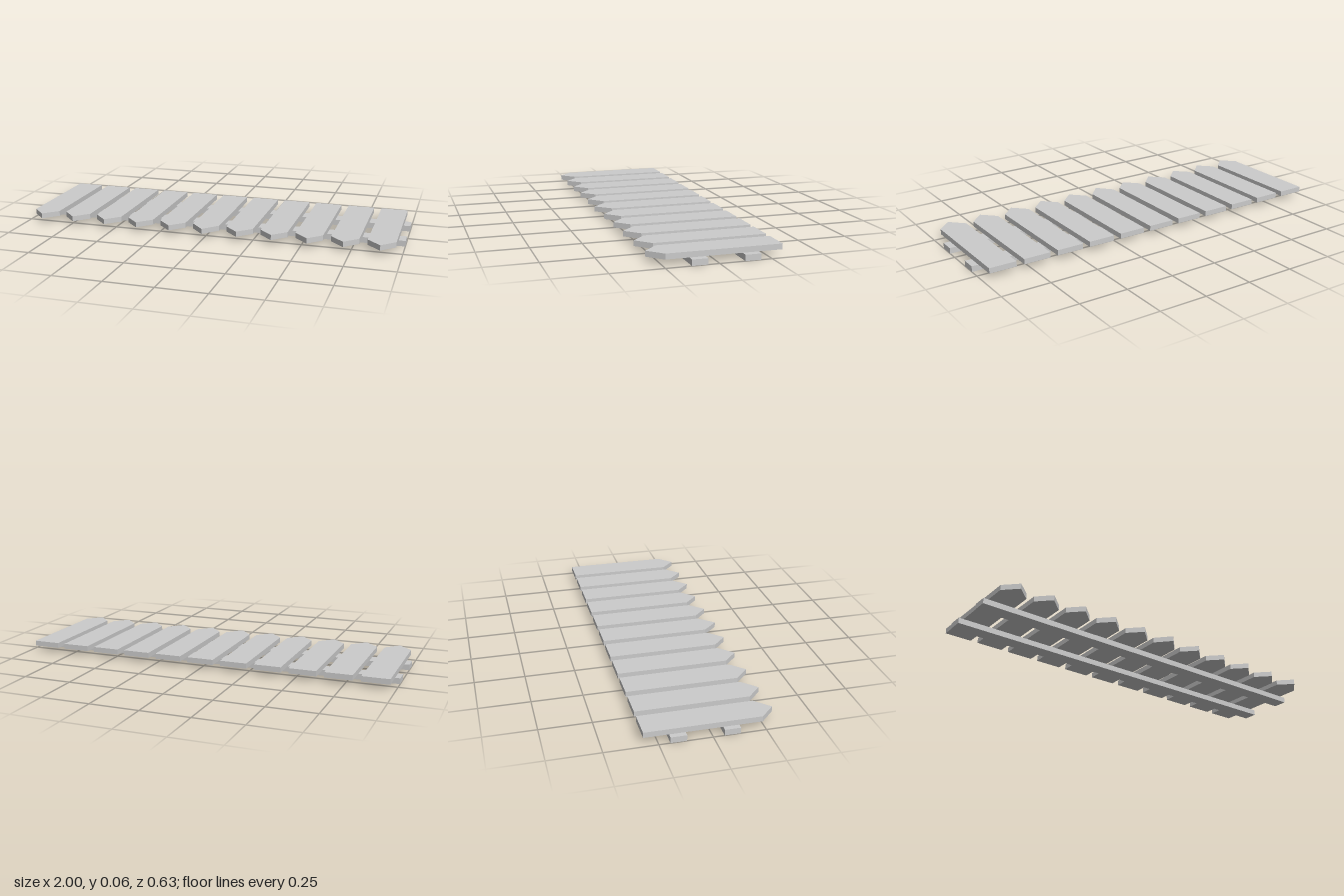
import * as THREE from 'three';

const material = new THREE.MeshStandardMaterial({ color: 0xcccccc, flatShading: true });

const RAIL_HEIGHT = 0.029;
const SLAT_THICKNESS = 0.027;
const SLAT_WIDTH = 0.14;
const SLAT_COUNT = 11;
const SLAT_PITCH = 0.18;

// Flat board lying in the xz plane, pointed at its +z end
function slatGeometry(tipZ) {
  const h = SLAT_WIDTH / 2;
  const outline = [[-h, 0.315], [-h, -0.24], [0, -tipZ], [h, -0.24], [h, 0.315]];
  const shape = new THREE.Shape(outline.map(([x, y]) => new THREE.Vector2(x, y)));
  const geometry = new THREE.ExtrudeGeometry(shape, { depth: SLAT_THICKNESS, bevelEnabled: false });
  return geometry.rotateX(-Math.PI / 2);
}

export function createModel() {
  const fence = new THREE.Group();
  fence.name = 'picketFence';

  // Two long rails underneath
  for (const [name, z] of [['lowerRail', -0.159], ['upperRail', 0.091]]) {
    const rail = new THREE.Mesh(new THREE.BoxGeometry(2, RAIL_HEIGHT, 0.076), material);
    rail.name = name;
    rail.position.set(0, RAIL_HEIGHT / 2, z);
    fence.add(rail);
  }

  // Pointed pickets across the rails; the middle one is slightly longer
  const middle = (SLAT_COUNT - 1) / 2;
  const picketGeometry = slatGeometry(0.309);
  const middleGeometry = slatGeometry(0.316);
  for (let i = 0; i < SLAT_COUNT; i++) {
    const picket = new THREE.Mesh(i === middle ? middleGeometry : picketGeometry, material);
    picket.name = `picket${i + 1}`;
    picket.position.set((i - middle) * SLAT_PITCH - 0.004, RAIL_HEIGHT, 0);
    fence.add(picket);
  }

  return fence;
}
